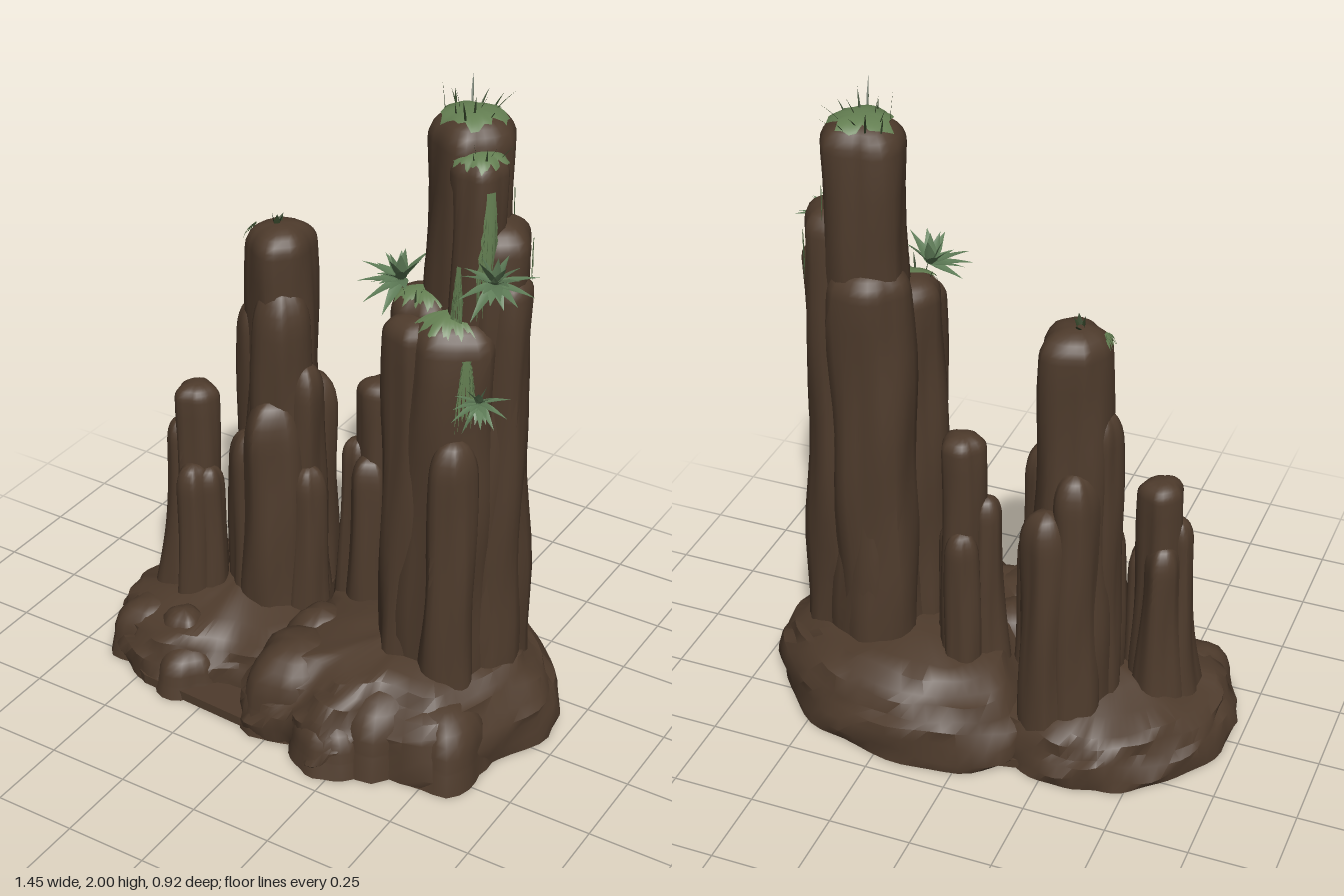
import * as THREE from 'three';
import { mergeGeometries, toCreasedNormals } from 'three/addons/utils/BufferGeometryUtils.js';

const { sin, cos, PI } = Math;
const lerp = THREE.MathUtils.lerp;

// Surface from a rule fn(u, v); u runs upward, v runs around, optionally closed.
function surface(fn, nu, nv, closed) {
  const pos = [], idx = [], cols = closed ? nv : nv + 1;
  for (let i = 0; i <= nu; i++)
    for (let j = 0; j < cols; j++) pos.push(...fn(i / nu, j / nv));
  for (let i = 0; i < nu; i++)
    for (let j = 0; j < nv; j++) {
      const a = i * cols + j, b = i * cols + (j + 1) % cols;
      idx.push(a, a + cols, b, b, a + cols, b + cols);
    }
  const g = new THREE.BufferGeometry();
  g.setAttribute('position', new THREE.Float32BufferAttribute(pos, 3));
  g.setIndex(idx);
  g.computeVertexNormals();
  return g;
}

// Point on a weathered round-topped pillar; t = 0 foot, 0.7 shoulder, 1 crown.
const SHOULDER = 0.7;
function pillarPoint(p, a, t, off = 0) {
  const { x, z, r, top, base, flare, dome, seed } = p;
  const s = Math.min(t / SHOULDER, 1);
  const phi = Math.max(0, (t - SHOULDER) / (1 - SHOULDER)) * PI / 2;
  const y = lerp(base, top - dome, s) + (dome + off) * sin(phi);
  const wobble = 1 + 0.06 * sin(3 * a + seed + 2 * y) + 0.05 * sin(5 * a + 2 * seed - 3 * y)
    + 0.045 * sin(11 * y + 2 * a + seed) + 0.02 * sin(9 * a + seed + 5 * y);
  const k = (r * lerp(1.07, 0.95, s) * (1 + flare * (1 - s) ** 2) * wobble + off)
    * Math.max(0, cos(phi)) ** 0.75;
  return [x + k * cos(a), y, z + k * sin(a)];
}

const pillarGeometry = (p) => toCreasedNormals(
  surface((u, v) => pillarPoint(p, v * 2 * PI, u), 20, 26, true), 0.8);

// Ragged moss skin lying just above a pillar's surface.
const mossPatch = (p, a0, a1, t0, t1) => surface((u, v) => {
  const edge = 0.03 * sin(v * 31 + p.seed) + 0.02 * sin(v * 67);
  const w = 1 - 0.6 * u - 0.15 * sin(u * 17 + p.seed) ** 2;
  const a = lerp((a0 + a1) / 2, lerp(a0, a1, v), a1 - a0 > 1 ? 1 : w);
  return pillarPoint(p, a, lerp(t0 + edge, t1, u), 0.007);
}, 10, 28, false);

const sideT = (p, y) => SHOULDER * (y - p.base) / (p.top - p.dome - p.base);

// Layered rock shelf: closed outline shrunk toward a centre, level by level.
function shelf(outline, cx, cz, levels, seed) {
  const curve = new THREE.CatmullRomCurve3(
    outline.map(([x, z]) => new THREE.Vector3(x, 0, z)), true, 'centripetal');
  const n = levels.length - 1, ring = curve.getPoints(72);
  const g = surface((u, v) => {
    const i = Math.round(u * n), q = ring[Math.round(v * 72) % 72], a = v * 2 * PI;
    const [y, s] = levels[i];
    const k = s * (1 + 0.018 * sin(7 * a + seed + i * 1.7) + 0.012 * sin(13 * a - i * 2.3));
    const lift = y > 0 ? s * 0.012 * sin(5 * a + seed + i) : 0;
    return [cx + (q.x - cx) * k, y + lift, cz + (q.z - cz) * k];
  }, n, 72, true);
  return toCreasedNormals(g, 0.7);
}

// Pointed folded leaf from a root along a direction, drooping toward its tip.
function leaf(root, dir, length, width, droop) {
  const d = new THREE.Vector3(...dir).normalize();
  const side = new THREE.Vector3(0, 1, 0).cross(d);
  if (side.lengthSq() < 0.01) side.set(1, 0, 0);
  side.normalize();
  const up = d.clone().cross(side);
  return surface((u, v) => {
    const w = (v - 0.5) * width * (u < 0.3 ? 0.7 + u : 1.43 * (1 - u));
    const fold = v === 0.5 ? -width * 0.18 * (1 - u) : 0;
    const q = new THREE.Vector3(...root).addScaledVector(d, u * length)
      .addScaledVector(side, w).addScaledVector(up, fold);
    return [q.x, q.y - droop * u * u * length, q.z];
  }, 5, 2, false);
}

// Spiky rosette opening along an axis.
function rosette(center, axis, size) {
  const turn = new THREE.Quaternion().setFromUnitVectors(
    new THREE.Vector3(0, 1, 0), new THREE.Vector3(...axis).normalize());
  const leaves = [];
  for (let i = 0; i < 20; i++) {
    const a = i * 2.4, tilt = 0.35 + 1.15 * i / 20;
    const d = new THREE.Vector3(sin(tilt) * cos(a), cos(tilt), sin(tilt) * sin(a)).applyQuaternion(turn);
    leaves.push(leaf(center, d.toArray(), size * (0.85 + 0.2 * sin(i * 5)), size * 0.3, 0.15));
  }
  return mergeGeometries(leaves);
}

function tuft(center, count, size, spread, width) {
  const blades = [];
  for (let i = 0; i < count; i++) {
    const a = i * 2.4, s = spread * Math.sqrt((i + 0.5) / count);
    const root = [center[0] + s * cos(a), center[1], center[2] + s * sin(a)];
    const lean = 0.45 + 0.35 * sin(i * 4);
    blades.push(leaf(root, [lean * cos(a), 1, lean * sin(a)], size * (0.75 + 0.25 * sin(i * 3)), width, 0.15));
  }
  return mergeGeometries(blades);
}

export function createModel() {
  const model = new THREE.Group();
  const material = (name, color, side = THREE.FrontSide) => {
    const m = new THREE.MeshStandardMaterial({ color, side });
    m.name = name;
    return m;
  };
  const rock = material('brown rock', 0x4e3b2c);
  const moss = material('moss green', 0x647f52, THREE.DoubleSide);
  const foliage = material('leaf green', 0x5f7d58, THREE.DoubleSide);
  const grass = material('dark grass', 0x35452a, THREE.DoubleSide);
  const add = (name, geometry, mat, parent = model) => {
    const m = new THREE.Mesh(geometry, mat);
    m.name = name;
    parent.add(m);
  };

  // Base shelves, outlined from +x toward +z so the faces look outward
  const rightEdge = [[0.66, 0.06], [0.6, 0.2], [0.53, 0.33], [0.33, 0.35], [0.27, 0.41], [0.2, 0.44], [0.13, 0.41],
    [0.08, 0.38], [0, 0.39], [-0.1, 0.37], [-0.14, 0.24], [-0.13, 0.1], [-0.15, -0.1], [-0.18, -0.3], [-0.1, -0.4],
    [0.03, -0.44], [0.17, -0.46], [0.35, -0.43], [0.48, -0.38], [0.6, -0.28], [0.69, -0.16], [0.71, -0.08]];
  const leftEdge = [[-0.72, 0.05], [-0.69, -0.13], [-0.58, -0.27], [-0.46, -0.35], [-0.34, -0.38], [-0.2, -0.36],
    [0, -0.25], [0.05, 0], [-0.05, 0.22], [-0.22, 0.26], [-0.33, 0.32], [-0.46, 0.35], [-0.6, 0.28], [-0.7, 0.15]];
  add('rightShelf', shelf(rightEdge, 0.3, -0.04, [[0, 0], [0, 0.98], [0.04, 1], [0.09, 0.99], [0.13, 0.97],
    [0.155, 0.92], [0.2, 0.87], [0.215, 0.8], [0.25, 0.73], [0.265, 0.62], [0.285, 0.35], [0.3, 0]], 1), rock);
  add('leftShelf', shelf(leftEdge, -0.34, -0.04, [[0, 0], [0, 0.98], [0.04, 1], [0.08, 0.97], [0.1, 0.92],
    [0.14, 0.9], [0.165, 0.82], [0.185, 0.6], [0.22, 0.35], [0.24, 0]], 4), rock);
  const floor = [[-0.58, 0.28], [-0.46, 0.35], [-0.1, 0.37], [0.1, 0.36], [0.1, -0.4], [-0.2, -0.34]];
  const floorGeo = new THREE.ExtrudeGeometry(
    new THREE.Shape(floor.map(([x, z]) => new THREE.Vector2(x, -z))), { depth: 0.03, bevelEnabled: false });
  add('floorSlab', floorGeo.rotateX(-PI / 2).translate(0, 0.003, 0), rock);

  // Low boulders around the foot
  [[0.2, 0.34, 0.11, 0.16], [0.02, 0.21, 0.17, 0.27], [0.3, 0.2, 0.17, 0.24], [-0.41, 0.2, 0.085, 0.21],
    [-0.55, 0.17, 0.12, 0.18], [-0.36, 0.25, 0.11, 0.14], [0.49, 0.19, 0.14, 0.22], [0, 0.06, 0.12, 0.28]]
    .forEach(([x, z, r, top], i) => add('boulder',
      pillarGeometry({ x, z, r, top, base: 0, flare: 0, dome: top * 0.65, seed: i * 1.9 }), rock));

  // Pillar clusters: x, z, radius, top, flare
  const clusters = {
    tallPillar: [[0.37, -0.1, 0.12, 1.92, 0.2], [0.43, -0.03, 0.08, 1.84, 0.2], [0.46, -0.08, 0.11, 1.64, 0.2],
      [0.28, -0.02, 0.095, 1.41, 0.05], [0.39, 0.015, 0.13, 1.38, 0.05], [0.45, 0.1, 0.07, 1.04, 0.1],
      [0.35, -0.13, 0.12, 1.5, 0.05], [0.29, 0.05, 0.085, 1.36, 0.05], [0.5, -0.06, 0.085, 1.5, 0.1]],
    middlePillar: [[-0.255, -0.13, 0.105, 1.42, 0.25], [-0.165, -0.1, 0.065, 1.0, 0.1], [-0.335, -0.12, 0.06, 1.16, 0.1],
      [-0.22, -0.25, 0.07, 0.88, 0.1], [-0.23, -0.04, 0.095, 0.9, 0.05], [-0.125, -0.06, 0.055, 0.68, 0.15],
      [-0.32, -0.04, 0.065, 0.75, 0.1], [-0.29, -0.21, 0.07, 1.0, 0.1], [-0.23, -0.085, 0.09, 1.25, 0.1]],
    smallPillar: [[0.075, -0.14, 0.065, 1.0, 0.2], [0.01, -0.12, 0.045, 0.79, 0.6], [0.07, -0.09, 0.055, 0.76, 0.15],
      [0.12, -0.11, 0.04, 0.66, 0.2], [0.06, -0.19, 0.05, 0.7, 0.1]],
    leftPillar: [[-0.478, 0, 0.066, 0.89, 0.25], [-0.53, 0.015, 0.045, 0.76, 1.1], [-0.46, 0.06, 0.055, 0.64, 0.15],
      [-0.42, 0.03, 0.045, 0.63, 0.2], [-0.5, -0.04, 0.055, 0.7, 0.5]],
  };
  const made = {};
  Object.entries(clusters).forEach(([name, list], c) => {
    const group = new THREE.Group();
    group.name = name;
    model.add(group);
    made[name] = list.map(([x, z, r, top, flare], i) => {
      const dome = r * (i && top < 1.3 ? 1.7 : 0.7);
      const p = { x, z, r, top, base: 0.1, flare, dome, seed: c * 2.1 + i * 1.3 };
      add('column', pillarGeometry(p), rock, group);
      return p;
    });
  });

  // Moss on crowns, ledges and flanks
  const [crown, second, right, left, front] = made.tallPillar;
  const flank = (p, a0, a1, y0, y1) => mossPatch(p, a0, a1, sideT(p, y0), sideT(p, y1));
  add('moss', mergeGeometries([
    mossPatch(crown, 0, 2 * PI, 0.87, 1),
    mossPatch(second, -0.6, 2.4, 0.82, 1),
    mossPatch(left, 0.4, 2.6, 0.84, 1),
    mossPatch(front, 0.5, 2.4, 0.85, 1),
    flank(second, 0.25, 1.1, 1.48, 1.76),
    flank(second, 1.4, 1.85, 1.36, 1.54),
    flank(front, 0.5, 1.0, 1.14, 1.3),
    flank(right, -1.0, -0.7, 1.5, 1.56),
    flank(crown, -0.55, -0.25, 1.6, 1.7),
    mossPatch(made.middlePillar[0], 2.7, 3.3, 0.78, 0.86),
  ]), moss);

  // Rosette plants
  add('leftPlant', rosette([0.23, 1.44, 0.02], [-0.4, 0.75, 0.5], 0.12), foliage);
  add('rightPlant', rosette([0.53, 1.52, 0.05], [0.4, 0.6, 0.6], 0.12), foliage);
  add('lowerPlant', rosette([0.515, 1.17, 0.085], [0.4, 0.2, 0.8], 0.09), foliage);

  // Grass blades
  add('crownGrass', tuft([0.36, 1.9, -0.11], 13, 0.115, 0.08, 0.007), grass);
  add('ledgeGrass', tuft([0.45, 1.82, -0.02], 7, 0.08, 0.04, 0.007), grass);
  add('sideGrass', tuft([0.27, 1.39, 0.02], 5, 0.07, 0.04, 0.007), grass);
  add('middleSpike', tuft([-0.27, 1.41, -0.13], 4, 0.06, 0.008, 0.02), grass);

  return model;
}
